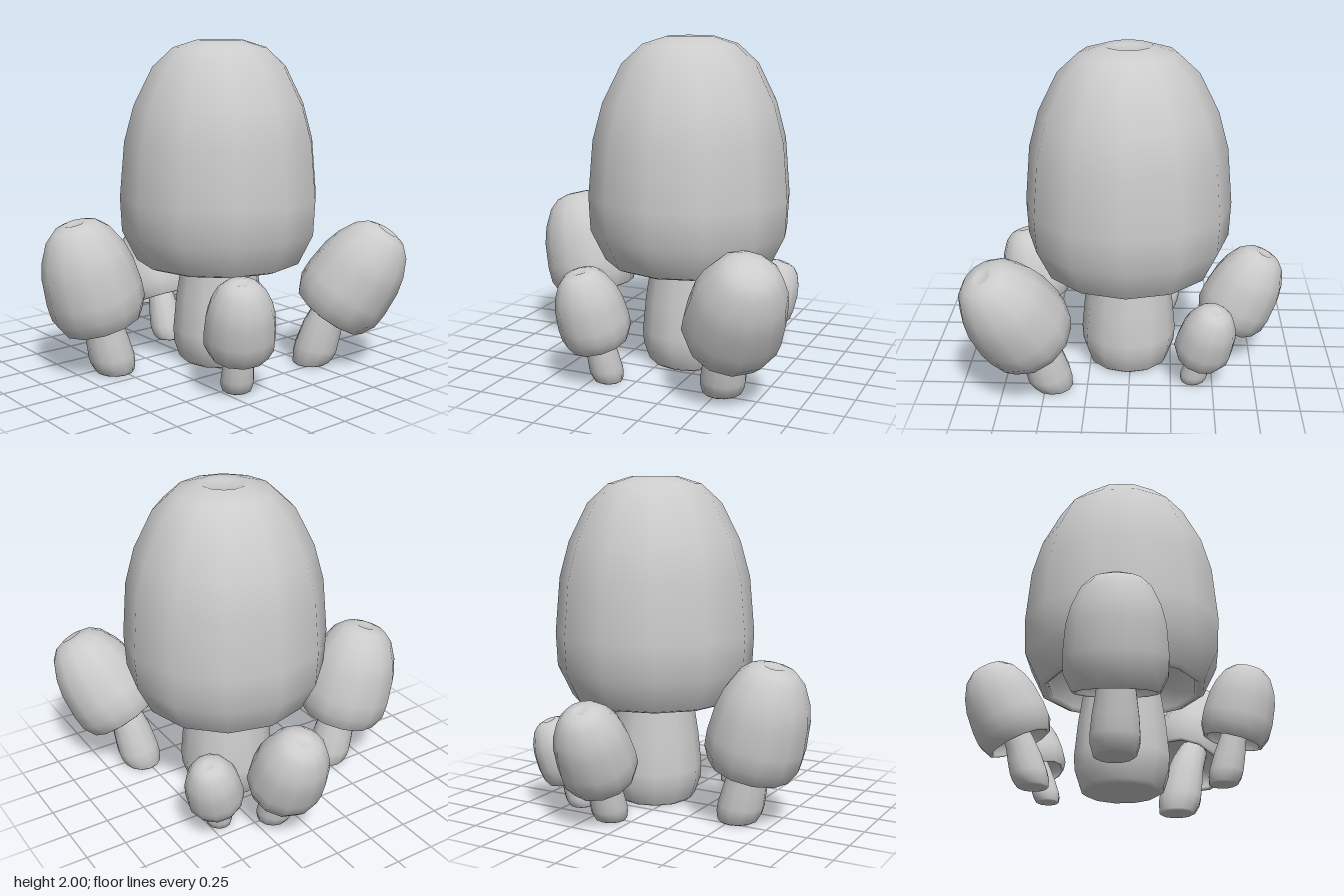
import * as THREE from 'three';
import { mergeVertices } from 'three/addons/utils/BufferGeometryUtils.js';

const SIDES = 12;
const RIM = 0.64;    // stem height at the cap rim, full-size mushroom
const INSIDE = 0.31; // how far the stem runs up into the cap
const UP = new THREE.Vector3(0, 1, 0);

// [radius, height] profiles of the full-size mushroom
const CAP = [
  [0.15, 0.3], [0.36, 0.24], [0.46, 0.12], [0.455, 0.02], [0.48, 0], [0.515, 0.015],
  [0.605, 0.2], [0.615, 0.41], [0.585, 0.75], [0.525, 0.97], [0.41, 1.2], [0.285, 1.315],
  [0.14, 1.36], [0.1, 1.345], [0, 1.335],
];
const STEM = [
  [0, 0], [0.22, 0], [0.25, 0.02], [0.285, 0.12], [0.29, 0.2],
  [0.27, 0.4], [0.235, RIM], [0.2, RIM + INSIDE],
];

// base: foot of the stem, rim: centre of the cap rim, axis: direction of the cap
const MUSHROOMS = [
  { name: 'mainMushroom', size: 1, base: [0.135, 0, 0.015], rim: [0.135, 0.64, 0.015], axis: [0, 1, 0] },
  { name: 'frontLeftMushroom', size: 0.46, base: [0.52, 0, 0.45], rim: [0.585, 0.34, 0.545], axis: [0.36, 0.84, 0.41] },
  { name: 'rightMushroom', size: 0.475, base: [-0.53, 0, -0.17], rim: [-0.61, 0.325, -0.18], axis: [-0.25, 0.967, -0.05] },
  { name: 'frontRightMushroom', size: 0.34, base: [-0.16, 0, 0.54], rim: [-0.19, 0.25, 0.595], axis: [-0.15, 0.96, 0.22] },
  { name: 'backMushroom', size: 0.375, base: [0.13, 0, -0.51], rim: [0.13, 0.26, -0.595], axis: [0, 0.9, -0.43] },
  { name: 'backLeftMushroom', size: 0.28, base: [0.43, 0, -0.38], rim: [0.47, 0.19, -0.42], axis: [0.27, 0.93, -0.23] },
];

function lathe(profile, size) {
  const points = profile.map(([r, y]) => new THREE.Vector2(r * size, y * size));
  return new THREE.LatheGeometry(points, SIDES);
}

// Weld the seam and smooth the normals
function smooth(geometry) {
  geometry.deleteAttribute('uv');
  geometry.deleteAttribute('normal');
  const welded = mergeVertices(geometry, 1e-4);
  welded.computeVertexNormals();
  return welded;
}

// Bend an upright stem from its flat foot into the tilted cap
function bentStem(size, base, rim, axis, tilt) {
  const geometry = lathe(STEM, size);
  const end = rim.clone().addScaledVector(axis, INSIDE * size);
  const spine = new THREE.CatmullRomCurve3([base, rim, end]);
  const position = geometry.attributes.position;
  const v = new THREE.Vector3();
  const turn = new THREE.Quaternion();
  for (let i = 0; i < position.count; i++) {
    v.fromBufferAttribute(position, i);
    const h = v.y / size;
    const u = h <= RIM ? 0.5 * h / RIM : Math.min(1, 0.5 + 0.5 * (h - RIM) / INSIDE);
    turn.identity().slerp(tilt, Math.min(1, u * 2));
    v.setY(0).applyQuaternion(turn).add(spine.getPoint(u));
    position.setXYZ(i, v.x, v.y, v.z);
  }
  return smooth(geometry);
}

function createMushroom(spec, material) {
  const base = new THREE.Vector3(...spec.base);
  const rim = new THREE.Vector3(...spec.rim);
  const axis = new THREE.Vector3(...spec.axis).normalize();
  const tilt = new THREE.Quaternion().setFromUnitVectors(UP, axis);

  const cap = new THREE.Mesh(smooth(lathe(CAP, spec.size)), material);
  cap.name = 'cap';
  cap.position.copy(rim);
  cap.quaternion.copy(tilt);

  const stem = new THREE.Mesh(bentStem(spec.size, base, rim, axis, tilt), material);
  stem.name = 'stem';

  const group = new THREE.Group();
  group.name = spec.name;
  group.add(cap, stem);
  return group;
}

export function createModel() {
  const model = new THREE.Group();
  model.name = 'mushroomCluster';
  const material = new THREE.MeshStandardMaterial({ color: 0xcccccc });
  for (const spec of MUSHROOMS) model.add(createMushroom(spec, material));
  return model;
}
